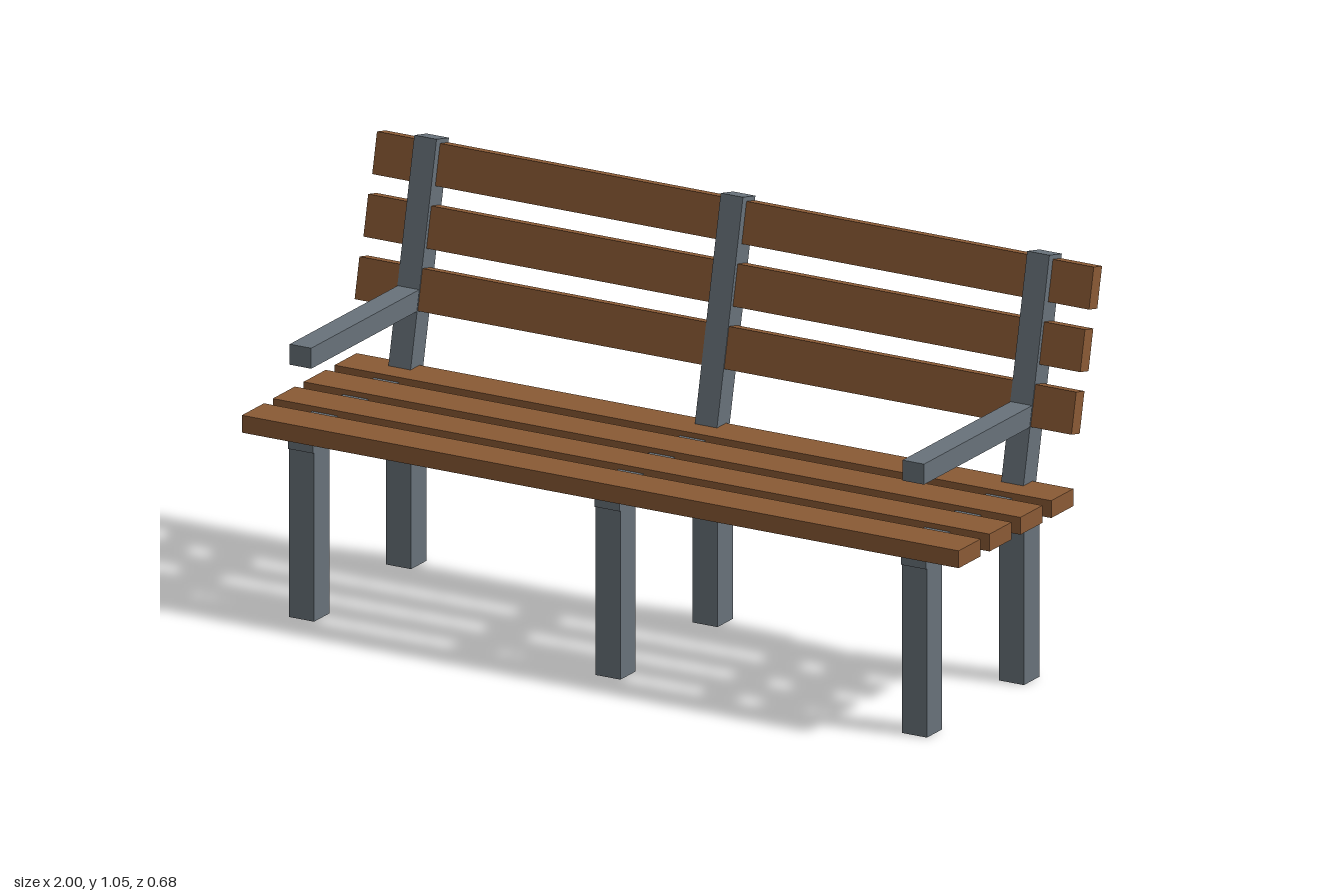
import * as THREE from 'three';

export function createModel() {
  const wood = new THREE.MeshStandardMaterial({ color: 0x8a5a35 });
  wood.name = 'wood';
  const metal = new THREE.MeshStandardMaterial({ color: 0x68727a });
  metal.name = 'greyMetal';

  const bench = new THREE.Group();
  bench.name = 'bench';
  const lean = -0.22; // backrest tilt

  function box(name, material, size, position, tilt = 0) {
    const mesh = new THREE.Mesh(new THREE.BoxGeometry(...size), material);
    mesh.name = name;
    mesh.position.set(...position);
    mesh.rotation.x = tilt;
    bench.add(mesh);
  }

  // Three supporting frames; armrests only on the outer two
  for (const x of [-0.855, 0, 0.855]) {
    box('frontLeg', metal, [0.07, 0.43, 0.072], [x, 0.215, 0.269]);
    box('backLeg', metal, [0.07, 0.43, 0.074], [x, 0.215, -0.19]);
    box('seatRail', metal, [0.07, 0.062, 0.54], [x, 0.459, 0.04]);
    box('backPost', metal, [0.062, 0.6, 0.06], [x, 0.753, -0.244], lean);
    if (x !== 0) box('armrest', metal, [0.06, 0.052, 0.51], [x, 0.668, 0.055]);
  }

  // Seat slats
  for (let i = 0; i < 4; i++) {
    box('seatSlat', wood, [2, 0.044, 0.104], [0, 0.481, 0.289 - i * 0.1457]);
  }

  // Backrest slats, let into the posts
  for (let i = 0; i < 3; i++) {
    box('backSlat', wood, [2, 0.104, 0.04], [0, 0.689 + i * 0.1465, -0.222 - i * 0.0415], lean);
  }

  return bench;
}
